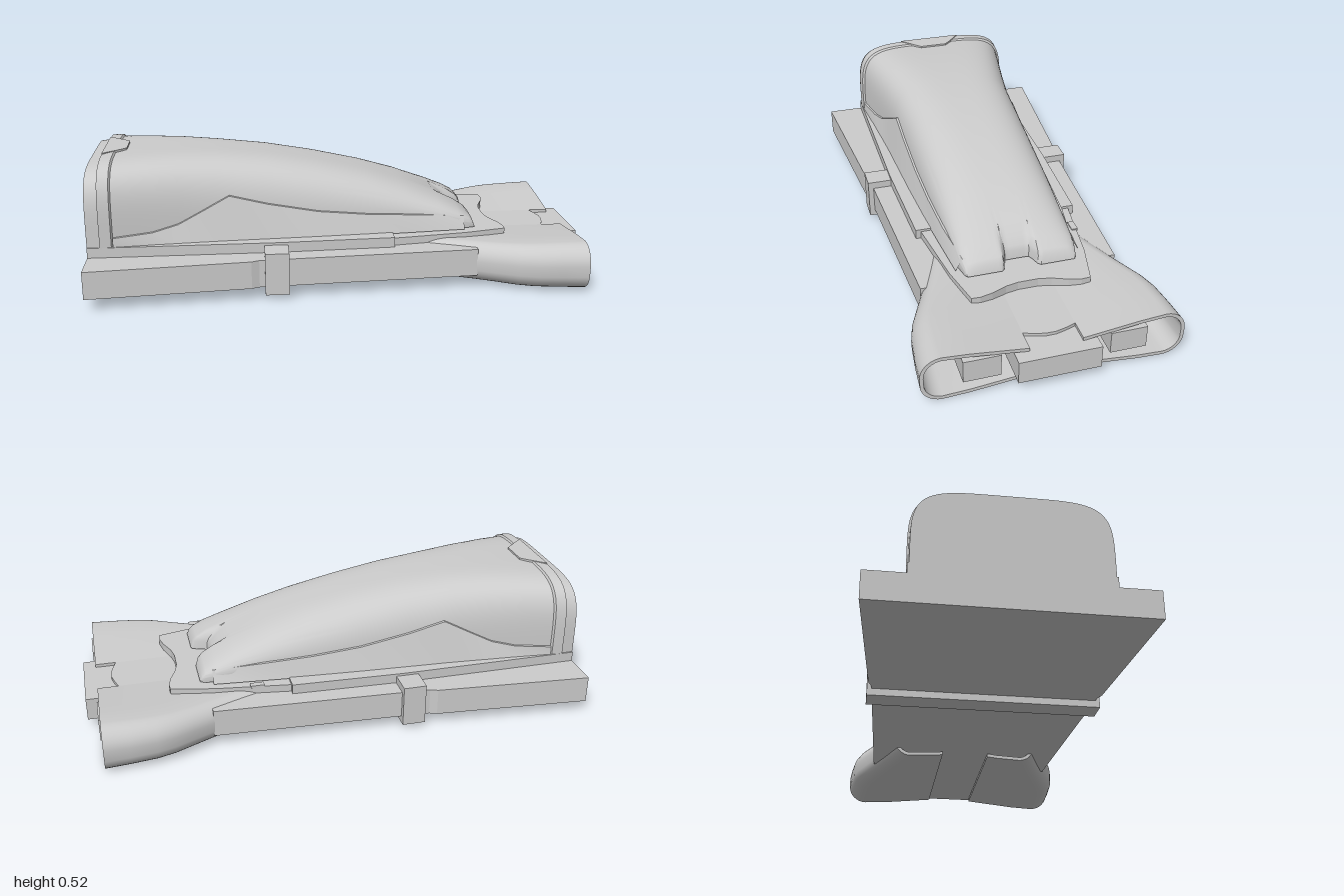
import * as THREE from 'three';
import { toCreasedNormals } from 'three/addons/utils/BufferGeometryUtils.js';

const mat = new THREE.MeshStandardMaterial({ color: 0xcccccc, side: THREE.DoubleSide });
const DECK = 0.2; // height the canopy stands on

// Piecewise-linear lookup: rows are [x, value, value, ...]
function sample(rows, x, col = 1) {
  for (let i = 1; i < rows.length; i++) {
    const a = rows[i - 1], b = rows[i];
    if (x <= b[0]) return THREE.MathUtils.lerp(a[col], b[col], Math.max(0, (x - a[0]) / (b[0] - a[0])));
  }
  return rows[rows.length - 1][col];
}

// Skin a list of equal-length rings that advance along +x
function loft(rings, closed, crease = 0.6) {
  const n = rings[0].length, idx = [];
  for (let i = 0; i < rings.length - 1; i++)
    for (let j = 0; j < (closed ? n : n - 1); j++) {
      const k = (j + 1) % n, a = i * n + j, b = a + n, c = i * n + k, d = c + n;
      idx.push(a, b, c, b, d, c);
    }
  const g = new THREE.BufferGeometry();
  g.setAttribute('position', new THREE.Float32BufferAttribute(rings.flat(2), 3));
  g.setIndex(idx);
  g.computeVertexNormals();
  return toCreasedNormals(g, crease);
}

// Flat slab, symmetric in z, from half outline points [x, z]
function slab(half, y0, y1) {
  const pts = [...half, ...half.slice().reverse().map(([x, z]) => [x, -z])];
  const shape = new THREE.Shape(pts.map(([x, z]) => new THREE.Vector2(x, z)));
  const g = new THREE.ExtrudeGeometry(shape, { depth: y1 - y0, bevelEnabled: false });
  return g.rotateX(Math.PI / 2).translate(0, y1, 0);
}

function box(x0, x1, y0, y1, z0, z1) {
  return new THREE.BoxGeometry(x1 - x0, y1 - y0, z1 - z0)
    .translate((x0 + x1) / 2, (y0 + y1) / 2, (z0 + z1) / 2);
}

// Squarish arch over the deck
function arch(x, h, w, n, shift = 0) {
  const ring = [], steps = 72;
  for (let j = 0; j <= steps; j++) {
    const a = (Math.PI * j) / steps, c = Math.cos(a), s = Math.sin(a);
    const r = Math.pow(Math.abs(c) ** n + Math.abs(s) ** n, -1 / n);
    const z = w * c * r;
    const notch = 1 - THREE.MathUtils.smoothstep(Math.abs(z), 0.045, 0.075);
    ring.push([x - shift * notch, DECK + (h - DECK) * s * r, z]);
  }
  return ring;
}

// Canopy stations: x, height, half width, squareness
const BODY = [
  [-0.9, 0.517, 0.342, 5], [-0.8, 0.521, 0.325, 4.7], [-0.65, 0.522, 0.3, 4.2], [-0.5, 0.515, 0.28, 3.8],
  [-0.3, 0.497, 0.272, 3.4], [-0.1, 0.464, 0.265, 3.2], [0.1, 0.42, 0.258, 3.1], [0.25, 0.375, 0.25, 3.2],
  [0.4, 0.317, 0.242, 3.5], [0.48, 0.28, 0.236, 4], [0.525, 0.252, 0.226, 4.5], [0.54, 0.235, 0.222, 4.5],
  [0.55, 0.2, 0.215, 4.5],
];
// Side skirts: x, crease height, half width at the foot
const SKIRT = [
  [-0.9, 0.24, 0.351], [-0.75, 0.25, 0.337], [-0.65, 0.275, 0.33], [-0.55, 0.325, 0.322], [-0.45, 0.376, 0.315],
  [-0.3, 0.338, 0.308], [-0.1, 0.3, 0.298], [0.1, 0.28, 0.285], [0.3, 0.268, 0.268], [0.5, 0.25, 0.25],
];
// Sleeve stations: x, half width, top, bottom
const SLEEVE = [
  [0.3, 0.31, 0.178, 0.022], [0.42, 0.355, 0.179, 0.021], [0.52, 0.395, 0.18, 0.02], [0.6, 0.43, 0.182, 0.018],
  [0.68, 0.464, 0.186, 0.014], [0.75, 0.482, 0.189, 0.011], [0.85, 0.492, 0.192, 0.008], [0.95, 0.498, 0.195, 0.005],
];

function bodyHalfWidth(x, y) {
  const h = sample(BODY, x, 1), w = sample(BODY, x, 2), n = sample(BODY, x, 3);
  const q = Math.min(0.97, (y - DECK) / (h - DECK));
  return w * Math.pow(1 - q ** n, 1 / n);
}

function skirt(side) {
  const rings = SKIRT.map(([x, yc, foot]) => {
    const z = bodyHalfWidth(x, yc);
    const ring = [[x, DECK, foot], [x, yc, z + 0.008], [x, yc + 0.004, z - 0.012]];
    ring.forEach((p) => { p[2] *= side; });
    return side > 0 ? ring : ring.reverse();
  });
  return loft(rings, false, 0.4);
}

// C-shaped line of the sleeve wall, inset by t
function sleeveLine(x, w, top, bottom, t) {
  const r = ((top - bottom) / 2) * 0.85 - t, W = w - t, T = top - t, B = bottom + t;
  const pts = [[x, 0.16 - t, 0.1], [x, T - 0.008, W - r - 0.1]];
  for (let j = 0; j <= 16; j++) {
    const a = Math.PI * (0.5 - j / 16);
    const cy = a >= 0 ? T - r : B + r;
    pts.push([x, cy + r * Math.sin(a), W - r + r * Math.cos(a)]);
  }
  pts.push([x, B + 0.005, W - r - 0.1], [x, 0.032 + t, 0.1]);
  return pts;
}

function sleeve(side) {
  const ring = ([x, w, t, b], thick) => {
    const pts = [...sleeveLine(x, w, t, b, 0), ...sleeveLine(x, w, t, b, thick).reverse()];
    pts.forEach((p) => { p[2] *= side; });
    return side > 0 ? pts.reverse() : pts;
  };
  const last = SLEEVE[SLEEVE.length - 1];
  return loft([ring(SLEEVE[0], 0), ...SLEEVE.map((s) => ring(s, 0.014)), ring(last, 0)], true, 0.7);
}

export function createModel() {
  const model = new THREE.Group();
  const add = (name, geometry) => {
    const mesh = new THREE.Mesh(geometry, mat);
    mesh.name = name;
    model.add(mesh);
  };

  // Base, tray and front deck
  add('base', slab([[-1, 0.505], [-0.37, 0.452], [-0.34, 0.44], [0.525, 0.395]], 0.055, 0.165));
  add('tray', slab([[-1, 0.355], [-0.25, 0.355], [0.2, 0.338]], 0.165, 0.205));
  add('frontDeck', slab([[0.19, 0.318], [0.5, 0.275], [0.67, 0.235], [0.672, 0.2], [0.66, 0.15],
    [0.635, 0.09], [0.625, 0.04]], 0.15, 0.195));
  add('deckTab', box(0.305, 0.36, 0.19, 0.2, -0.3, -0.275));

  // Canopy with a raised rear band and a notched nose
  const rings = [arch(-0.95, 0.49, 0.335, 5), arch(-0.95, 0.522, 0.356, 5), arch(-0.906, 0.524, 0.351, 5)];
  for (const [x, h, w, n] of BODY) rings.push(arch(x, h, w, n, 0.065 * Math.max(0, (x - 0.4) / 0.15)));
  add('canopy', loft(rings, false));
  add('rearWall', loft([arch(-1, 0.2, 0.001, 5).map(() => [-1, DECK, 0]),
    arch(-1, 0.497, 0.349, 5), arch(-0.94, 0.504, 0.35, 5)], false));
  add('rearLatchPlate', slab([[-0.95, 0.14], [-0.885, 0.085], [-0.86, 0.06]], 0.505, 0.526));

  // Front sleeves, side skirts and blocks on both sides
  for (const side of [1, -1]) {
    const tag = side > 0 ? 'left' : 'right';
    const place = (name, x0, x1, y0, y1, z) => add(name, box(x0, x1, y0, y1, side * z[0] - z[1], side * z[0] + z[1]));
    add(tag + 'Skirt', skirt(side));
    add(tag + 'Sleeve', sleeve(side));
    place(tag + 'Plug', 0.7, 0.957, 0.07, 0.16, [0.275, 0.07]);
    // Strap side wall and its lip over the base
    place(tag + 'StrapSide', -0.318, -0.225, 0.027, 0.195, [0.444, 0.012]);
    place(tag + 'StrapLip', -0.318, -0.225, 0.165, 0.195, [0.4, 0.045]);
  }
  add('strapBottom', box(-0.318, -0.225, 0.027, 0.055, -0.45, 0.45));

  // Core running through the sleeves
  add('core', box(0.5, 0.75, 0.055, 0.145, -0.385, 0.385));
  add('topBridge', slab([[0.5, 0.105], [0.865, 0.105], [0.88, 0.06], [0.89, 0.02]], 0.145, 0.16));
  add('centreBlock', box(0.7, 1, 0.055, 0.147, -0.156, 0.156));
  return model;
}
